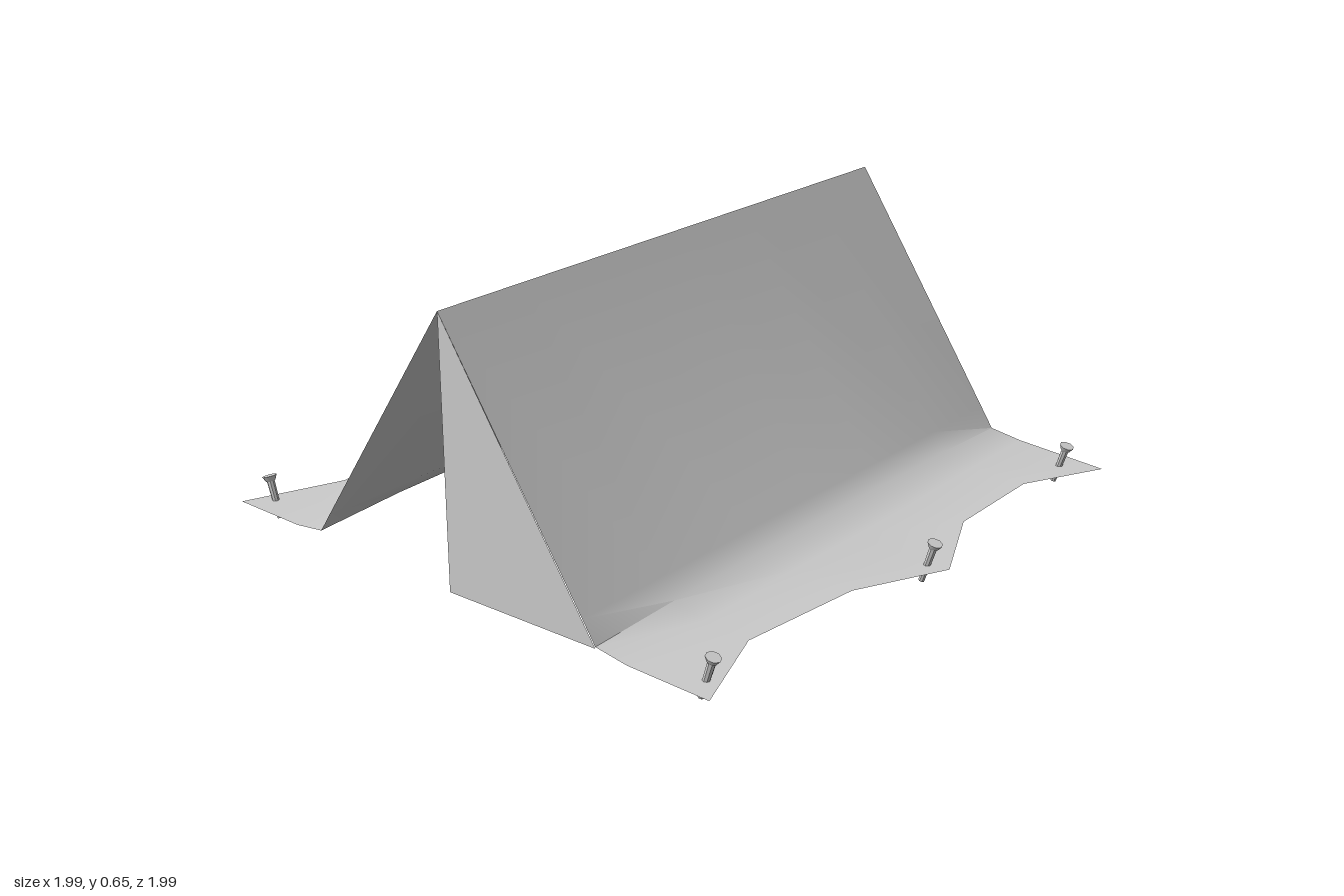
import * as THREE from 'three';
import { toCreasedNormals } from 'three/addons/utils/BufferGeometryUtils.js';

const cloth = new THREE.MeshStandardMaterial({ color: 0xcccccc, side: THREE.DoubleSide });
const metal = new THREE.MeshStandardMaterial({ color: 0xcccccc });

// Stations along the ridge: [x, x at hem, hem distance, softness of the eave fold]
const stations = [
  [-0.731, -0.728, 0.685, 0],
  [-0.5, -0.5, 0.598, 0.7],
  [-0.2, -0.197, 0.63, 1],
  [0.014, 0.014, 0.731, 1],
  [0.235, 0.235, 0.627, 1],
  [0.5, 0.5, 0.623, 0.7],
  [0.717, 0.695, 0.72, 0],
];

// One half of the canvas: ridge, wall, eave, fold, scalloped hem
function canvasSide(side) {
  const rows = stations.map(([x, hemX, hemZ, soft]) => [
    [x, 0.65, 0],
    [x, 0.105, 0.371],
    [x, 0.056 + 0.014 * soft, 0.404 + 0.006 * soft],
    [x, 0.045, 0.485],
    [hemX, 0.042, hemZ],
  ]);
  const wide = rows[0].length;
  const index = [];
  for (let i = 0; i < rows.length - 1; i++) {
    for (let j = 0; j < wide - 1; j++) {
      const a = i * wide + j, b = a + 1, c = a + wide, d = c + 1;
      if (side > 0) index.push(a, b, d, a, d, c);
      else index.push(a, d, b, a, c, d);
    }
  }
  const points = rows.flat().flatMap(([x, y, z]) => [x, y, z * side]);
  const geo = new THREE.BufferGeometry();
  geo.setAttribute('position', new THREE.Float32BufferAttribute(points, 3));
  geo.setIndex(index);
  return toCreasedNormals(geo, THREE.MathUtils.degToRad(40));
}

// Flat end panel between two points on the ground and the ridge
function endPanel(x, z0, z1, turn) {
  const shape = new THREE.Shape([
    new THREE.Vector2(z0, z0 ? 0.052 : 0.04),
    new THREE.Vector2(z1, z1 ? 0.052 : 0.04),
    new THREE.Vector2(0, 0.65),
  ]);
  return new THREE.ShapeGeometry(shape).rotateY(turn).translate(x, 0, 0);
}

function add(parent, name, geometry, material) {
  const mesh = new THREE.Mesh(geometry, material);
  mesh.name = name;
  parent.add(mesh);
  return mesh;
}

// Peg with a tapered shaft and a flared flat head
function makePeg() {
  const peg = new THREE.Group();
  peg.name = 'peg';
  const shaft = new THREE.CylinderGeometry(0.009, 0.007, 0.09, 8).translate(0, 0.045, 0);
  const head = new THREE.CylinderGeometry(0.017, 0.011, 0.012, 8).translate(0, 0.094, 0);
  add(peg, 'pegShaft', toCreasedNormals(shaft, 0.9), metal);
  add(peg, 'pegHead', toCreasedNormals(head, 0.9), metal);
  return peg;
}

export function createModel() {
  const model = new THREE.Group();
  model.name = 'tent';
  const tent = new THREE.Group();
  tent.name = 'tentBody';
  tent.rotation.y = THREE.MathUtils.degToRad(40);
  model.add(tent);

  add(tent, 'frontCanvas', canvasSide(1), cloth);
  add(tent, 'backCanvas', canvasSide(-1), cloth);

  // Closed end, and the entrance with one half covered
  add(tent, 'closedEnd', endPanel(0.717, -0.404, 0.404, Math.PI / 2), cloth);
  add(tent, 'doorFlap', endPanel(-0.731, 0, 0.404, -Math.PI / 2), cloth);

  // Three pegs on each hem, heads leaning outward
  for (const side of [-1, 1]) {
    for (const [x, z] of [[-0.673, 0.62], [0.003, 0.67], [0.646, 0.62]]) {
      const peg = makePeg();
      peg.position.set(x, 0.002, z * side);
      peg.rotation.x = 0.3 * side;
      tent.add(peg);
    }
  }
  return model;
}
